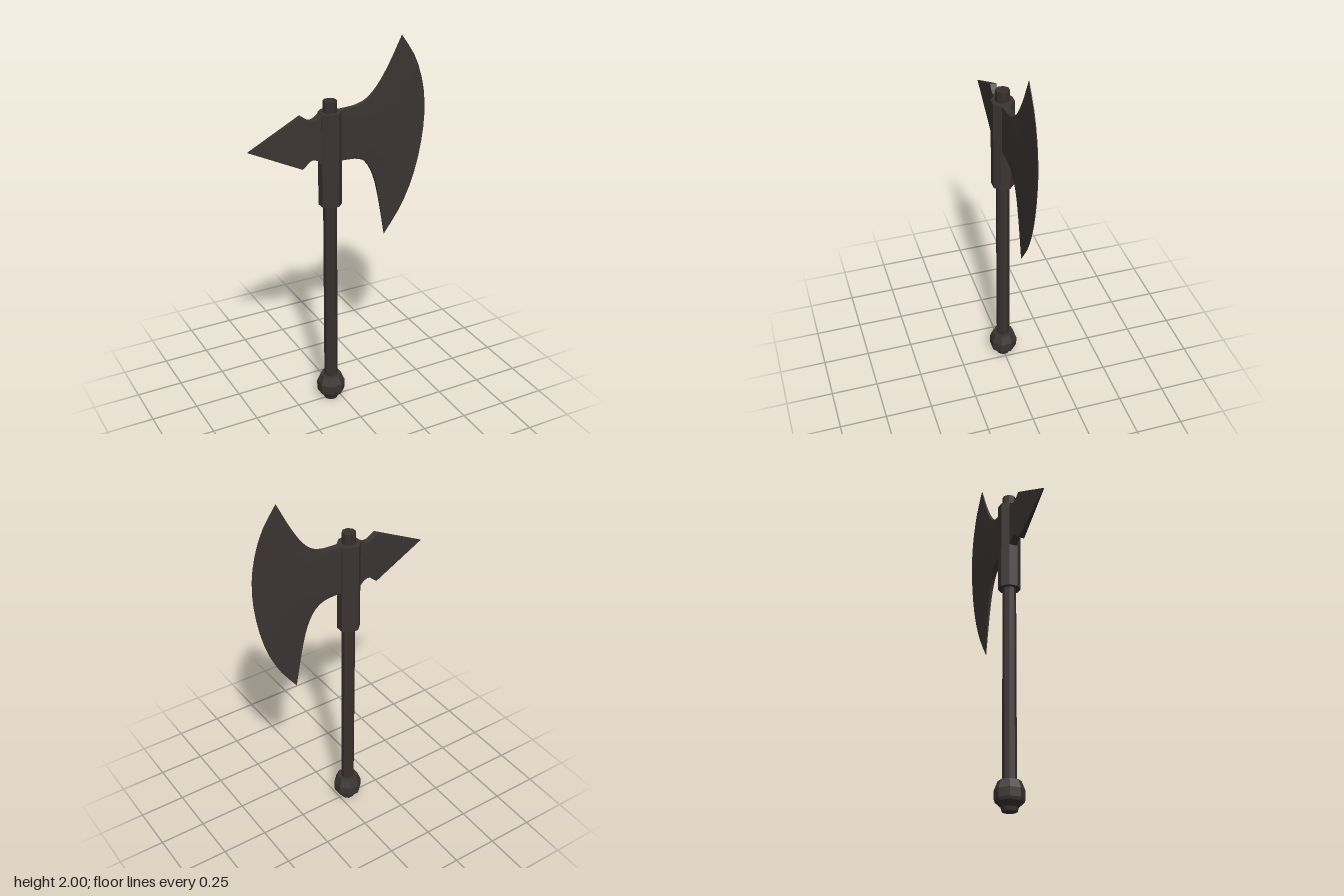
import * as THREE from 'three';

const AXIS_X = -0.052;
const OCT = 1 / Math.cos(Math.PI / 8); // flat-to-flat radius -> corner radius

// Closed plate from a grid: point(u, v) gives [x, y, half thickness]
function plate(cols, rows, point) {
  const pos = [];
  const at = (i, j, side) => {
    const [x, y, h] = point(i / cols, j / rows);
    return [x, y, h * side];
  };
  const quad = (a, b, c, d) => pos.push(...a, ...b, ...c, ...a, ...c, ...d);
  for (let i = 0; i < cols; i++) {
    for (let j = 0; j < rows; j++) {
      quad(at(i, j, 1), at(i + 1, j, 1), at(i + 1, j + 1, 1), at(i, j + 1, 1));
      quad(at(i, j, -1), at(i, j + 1, -1), at(i + 1, j + 1, -1), at(i + 1, j, -1));
    }
  }
  // rim, walked counter-clockwise
  const loop = [];
  for (let i = 0; i < cols; i++) loop.push([i, 0]);
  for (let j = 0; j < rows; j++) loop.push([cols, j]);
  for (let i = cols; i > 0; i--) loop.push([i, rows]);
  for (let j = rows; j > 0; j--) loop.push([0, j]);
  loop.forEach((p, k) => {
    const q = loop[(k + 1) % loop.length];
    quad(at(...p, 1), at(...p, -1), at(...q, -1), at(...q, 1));
  });
  const geo = new THREE.BufferGeometry();
  geo.setAttribute('position', new THREE.Float32BufferAttribute(pos, 3));
  geo.computeVertexNormals();
  return geo;
}

const spline = (pts) => new THREE.CatmullRomCurve3(
  pts.map(([x, y]) => new THREE.Vector3(x, y, 0)), false, 'centripetal');

// Crescent blade: a patch between its upper, lower and cutting edges
function bladeGeometry() {
  const top = spline([[-0.05, 1.67], [0.02, 1.672], [0.1, 1.68], [0.155, 1.703],
    [0.21, 1.757], [0.27, 1.85], [0.345, 2.0]]);
  const bottom = spline([[-0.05, 1.412], [0.02, 1.41], [0.1, 1.4], [0.15, 1.367],
    [0.195, 1.285], [0.23, 1.14], [0.265, 0.935]]);
  const edge = spline([[0.265, 0.935], [0.36, 1.07], [0.43, 1.225], [0.475, 1.41],
    [0.49, 1.58], [0.475, 1.73], [0.425, 1.88], [0.345, 2.0]]);
  const root = spline([[-0.05, 1.412], [-0.05, 1.67]]);
  const mix = (a, b, t) => a.clone().lerp(b, t);
  return plate(18, 16, (u, v) => {
    const p = mix(bottom.getPoint(u), top.getPoint(u), v)
      .add(mix(root.getPoint(v), edge.getPoint(v), u))
      .sub(mix(mix(bottom.getPoint(0), bottom.getPoint(1), u),
        mix(top.getPoint(0), top.getPoint(1), u), v));
    return [p.x, p.y, 0.0225 - 0.021 * u];
  });
}

// Rear spike: columns of [x, lower y, upper y] from the tip to the socket
function spikeGeometry() {
  const cols = [[-0.49, 1.538, 1.541], [-0.21, 1.402, 1.675], [-0.185, 1.423, 1.656],
    [-0.168, 1.439, 1.645], [-0.15, 1.442, 1.643], [-0.13, 1.434, 1.65],
    [-0.105, 1.412, 1.67], [-0.05, 1.412, 1.67]];
  const n = cols.length - 1;
  return plate(n, 1, (u, v) => {
    const [x, lo, hi] = cols[Math.round(u * n)];
    return [x, v ? hi : lo, 0.002 + 0.02 * (x + 0.49) / 0.4];
  });
}

export function createModel() {
  const metal = new THREE.MeshStandardMaterial({ color: 0x3b3433, flatShading: true });
  metal.name = 'dark iron';
  const wood = new THREE.MeshStandardMaterial({ color: 0x3a302d, flatShading: true });
  wood.name = 'dark wood';

  const axe = new THREE.Group();
  axe.name = 'battleAxe';
  const add = (name, geo, mat, x = 0, y = 0) => {
    const mesh = new THREE.Mesh(geo, mat);
    mesh.name = name;
    mesh.position.set(x, y, 0);
    axe.add(mesh);
  };
  const octagon = (name, r, y0, y1, mat) => add(name,
    new THREE.CylinderGeometry(r * OCT, r * OCT, y1 - y0, 8, 1, false, Math.PI / 8),
    mat, AXIS_X, (y0 + y1) / 2);

  // Handle and socket
  octagon('shaft', 0.033, 0.1, 1.73, wood);
  octagon('socket', 0.055, 1.178, 1.672, metal);

  // Faceted pommel
  const profile = [[0, 0], [0.035, 0], [0.04, 0.02], [0.066, 0.045], [0.07, 0.06],
    [0.07, 0.105], [0.053, 0.15], [0, 0.15]]
    .map(([r, y]) => new THREE.Vector2(r * OCT, y));
  add('pommel', new THREE.LatheGeometry(profile, 8, Math.PI / 8), metal, AXIS_X);

  // Head
  add('blade', bladeGeometry(), metal);
  add('rearSpike', spikeGeometry(), metal);
  return axe;
}
